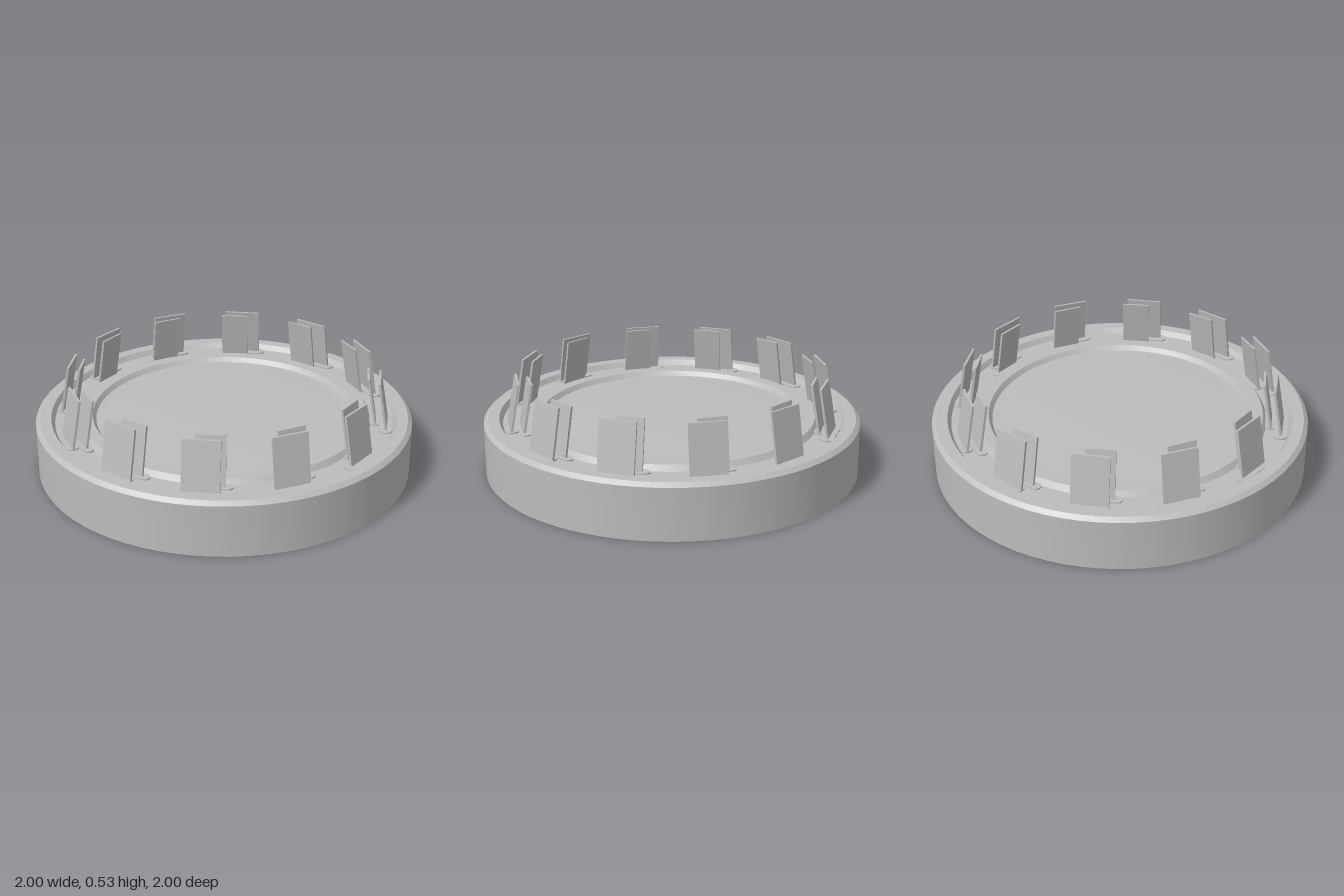
import * as THREE from 'three';
import { toCreasedNormals } from 'three/addons/utils/BufferGeometryUtils.js';

const grey = new THREE.MeshStandardMaterial({ color: 0xbcbcbc });
grey.name = 'grey plastic';

const FLOOR = 0.266; // height of the groove that carries the clips

function addMesh(parent, geometry, name) {
  const mesh = new THREE.Mesh(geometry, grey);
  mesh.name = name;
  parent.add(mesh);
  return mesh;
}

// Turned solid from [radius, height] points, sharp at its edges
function turned(points, segments) {
  const profile = points.map(([r, y]) => new THREE.Vector2(r, y));
  return toCreasedNormals(new THREE.LatheGeometry(profile, segments), 0.25);
}

// Thin upright plate whose top leans in towards the centre
function clipGeometry(width) {
  const height = 0.53 - FLOOR + 0.006;
  const geo = new THREE.BoxGeometry(0.012, height, width);
  geo.translate(0, height / 2, 0);
  const pos = geo.attributes.position;
  for (let i = 0; i < pos.count; i++) {
    pos.setX(i, pos.getX(i) - pos.getY(i) * 0.174);
  }
  geo.computeVertexNormals();
  return geo;
}

// Low rounded pad, long in z
function padGeometry(width, length) {
  const r = width / 2, h = length / 2 - r;
  const shape = new THREE.Shape();
  shape.absarc(0, h, r, 0, Math.PI);
  shape.absarc(0, -h, r, Math.PI, Math.PI * 2);
  shape.closePath();
  const geo = new THREE.ExtrudeGeometry(shape, { depth: 0.008, bevelEnabled: false, curveSegments: 10 });
  return geo.rotateX(-Math.PI / 2);
}

export function createModel() {
  const model = new THREE.Group();
  model.name = 'clipCap';

  // Body: closed base, chamfered rim, clip groove, inner ridge and recess
  addMesh(model, turned([
    [0, 0], [1, 0], [1, 0.275], [0.978, 0.295],
    [0.918, 0.295], [0.9, FLOOR],
    [0.782, FLOOR], [0.762, 0.295],
    [0.7, 0.295], [0.682, 0.27], [0.64, 0.27],
  ], 72), 'capBody');

  // Slightly domed centre panel
  const dome = [];
  for (let i = 0; i <= 8; i++) {
    const t = i / 8;
    dome.push([0.65 * (1 - t), 0.27 + 0.015 * (1 - (1 - t) ** 2)]);
  }
  addMesh(model, turned(dome, 72), 'centrePanel');

  // Twelve pairs of clips; angles are in degrees around the cap
  const kinds = [
    { name: 'outer', radius: 0.866, width: 0.19, angle: -6.1, pad: [0.07, 0.225], padShift: 0.9 },
    { name: 'inner', radius: 0.806, width: 0.15, angle: -8.9, pad: [0.055, 0.19], padShift: -1.2 },
  ];
  for (const kind of kinds) {
    const clip = clipGeometry(kind.width);
    const pad = padGeometry(...kind.pad);
    for (let i = 0; i < 12; i++) {
      const place = (geo, name, degrees, radius, y) => {
        const a = THREE.MathUtils.degToRad(degrees);
        const mesh = addMesh(model, geo, name);
        mesh.position.set(Math.cos(a) * radius, y, Math.sin(a) * radius);
        mesh.rotation.y = -a;
      };
      const angle = i * 30 + kind.angle;
      place(clip, kind.name + 'Clip', angle, kind.radius, FLOOR - 0.006);
      place(pad, kind.name + 'ClipPad', angle + kind.padShift, kind.radius - 0.004, FLOOR - 0.001);
    }
  }
  return model;
}
